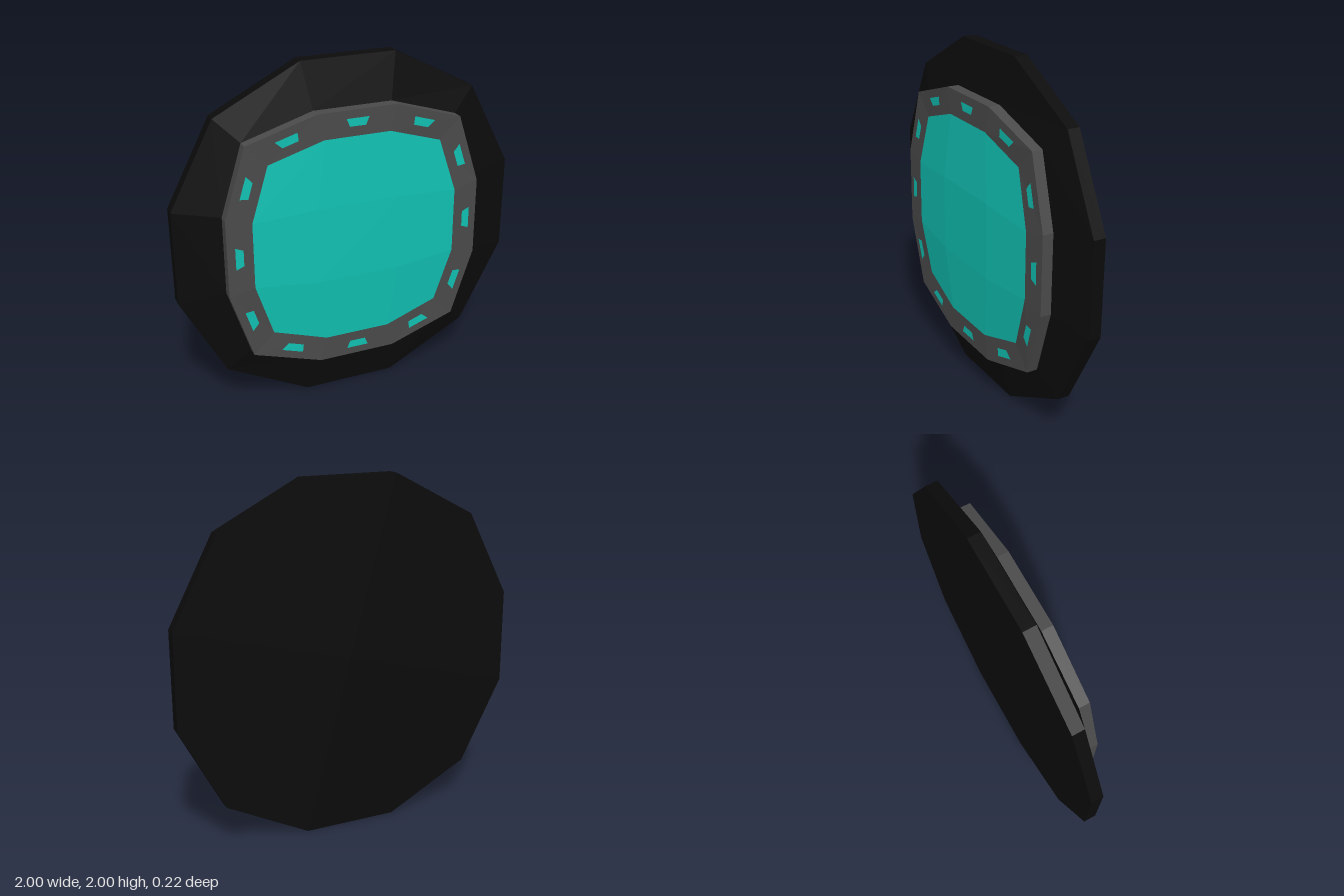
import * as THREE from 'three';

const CY = 1; // height of the disc centre

function material(color) {
  return new THREE.MeshStandardMaterial({ color, flatShading: true });
}

// Twelve-point outline, counter-clockwise from the front:
// a = reach of the four flats, b = their half width, c = corner position,
// z values for side, corner and top/bottom points.
function ring(a, b, c, zSide, zCorner, zTop) {
  const pts = [];
  for (let q = 0; q < 4; q++) {
    const quarter = q % 2 ? zTop : zSide;
    for (const [x, y, z] of [[a, -b, quarter], [a, b, quarter], [c, c, zCorner]]) {
      const p = new THREE.Vector3(x, y, z);
      for (let k = 0; k < q; k++) p.set(-p.y, p.x, p.z);
      pts.push(p);
    }
  }
  return pts;
}

function meshFromQuads(name, quads, mat) {
  const pts = [];
  for (const [a, b, c, d] of quads) pts.push(a, b, c, a, c, d);
  const geo = new THREE.BufferGeometry().setFromPoints(pts);
  geo.translate(0, CY, 0);
  geo.computeVertexNormals();
  const mesh = new THREE.Mesh(geo, mat);
  mesh.name = name;
  return mesh;
}

// Quads joining successive rings, from back to front
function loft(rings) {
  const quads = [];
  for (let r = 0; r < rings.length - 1; r++) {
    const [p, q] = [rings[r], rings[r + 1]];
    for (let i = 0; i < 12; i++) {
      const j = (i + 1) % 12;
      quads.push([p[i], p[j], q[j], q[i]]);
    }
  }
  return quads;
}

export function createModel() {
  const group = new THREE.Group();
  const black = material(0x0b0b0b), grey = material(0x4a4a4a), teal = material(0x11c0b2);

  // Dark backing disc: flat back, straight edge, sloping front
  const centre = ring(0, 0, 0, -0.11, -0.11, -0.11);
  const back = ring(1, 0.27, 0.75, -0.11, -0.11, -0.11);
  const edge = ring(1, 0.27, 0.75, -0.04, -0.04, -0.035);
  const foot = ring(0.745, 0.225, 0.62, 0.018, 0.012, 0.022);
  group.add(meshFromQuads('backingDisc', loft([centre, back, edge, foot]), black));

  // Raised grey bezel
  const outer = ring(0.745, 0.225, 0.62, 0.08, 0.073, 0.088);
  const inner = ring(0.6, 0.19, 0.5, 0.085, 0.073, 0.09);
  group.add(meshFromQuads('bezel', loft([foot, outer, inner]), grey));

  // Domed lens: a four by four grid filling the bezel
  const core = [[-0.24, -0.22], [0.24, -0.22], [0.24, 0.22], [-0.24, 0.22]]
    .map(([x, y]) => new THREE.Vector3(x, y, 0.11));
  const grid = [
    [inner[8], inner[9], inner[10], inner[11]],
    [inner[7], core[0], core[1], inner[0]],
    [inner[6], core[3], core[2], inner[1]],
    [inner[5], inner[4], inner[3], inner[2]],
  ];
  const lens = [];
  for (let r = 0; r < 3; r++)
    for (let c = 0; c < 3; c++)
      lens.push([grid[r][c], grid[r][c + 1], grid[r + 1][c + 1], grid[r + 1][c]]);
  group.add(meshFromQuads('lens', lens, teal));

  // Small tapered lights, one in the middle of each bezel segment
  const lights = [];
  for (let i = 0; i < 12; i++) {
    const j = (i + 1) % 12;
    const at = (t, halfWidth) => {
      const a = outer[i].clone().lerp(inner[i], t);
      const b = outer[j].clone().lerp(inner[j], t);
      const p = a.clone().lerp(b, 0.5 + halfWidth / a.distanceTo(b));
      p.z += 0.003;
      return p;
    };
    lights.push([at(0.31, -0.065), at(0.31, 0.065), at(0.62, 0.046), at(0.62, -0.046)]);
  }
  group.add(meshFromQuads('bezelLights', lights, teal));

  return group;
}
